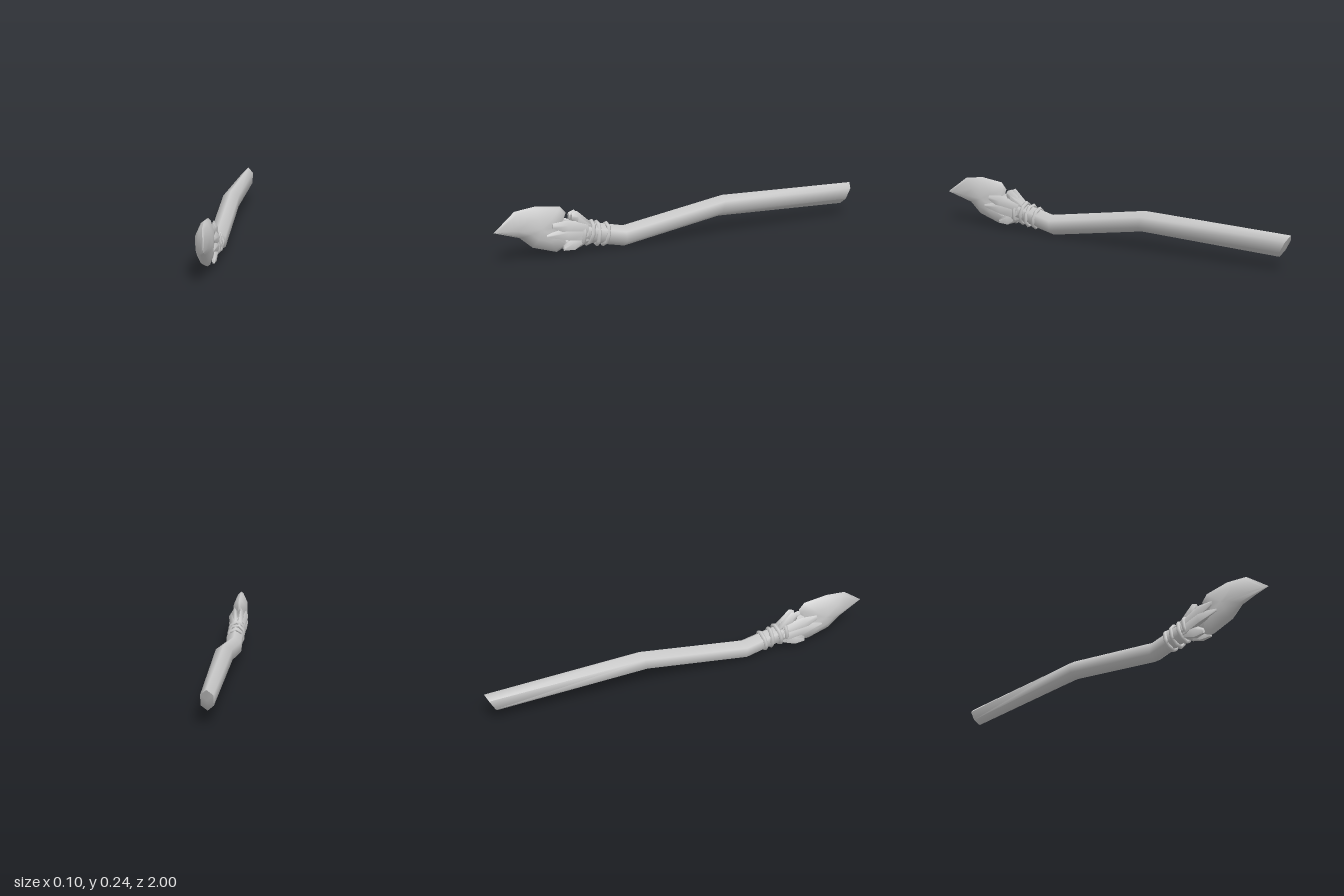
import * as THREE from 'three';
import { toCreasedNormals } from 'three/addons/utils/BufferGeometryUtils.js';

const grey = new THREE.MeshStandardMaterial({ color: 0xcccccc });
grey.name = 'grey';

// Skin closed rings, ordered with the first ring at the back, and cap both ends.
function loft(rings, crease) {
  const n = rings[0].length, pos = rings.flat(2), idx = [];
  const last = rings.length - 1;
  for (let k = 0; k < last; k++) {
    for (let i = 0; i < n; i++) {
      const a = k * n + i, b = k * n + (i + 1) % n;
      idx.push(a, b, a + n, b, b + n, a + n);
    }
  }
  for (const k of [0, last]) {
    const c = pos.length / 3;
    for (let j = 0; j < 3; j++) pos.push(rings[k].reduce((s, p) => s + p[j], 0) / n);
    for (let i = 0; i < n; i++) {
      const a = k * n + i, b = k * n + (i + 1) % n;
      if (k === 0) idx.push(c, b, a); else idx.push(c, a, b);
    }
  }
  const geo = new THREE.BufferGeometry();
  geo.setAttribute('position', new THREE.Float32BufferAttribute(pos, 3));
  geo.setIndex(idx);
  return toCreasedNormals(geo, crease);
}

// Elliptical ring across z; lean pushes its top towards +z or -z.
function ring([x, y, z, rx, ry, lean = 0], sides) {
  return Array.from({ length: sides }, (_, i) => {
    const a = Math.PI / 2 + (i / sides) * Math.PI * 2;
    return [x + rx * Math.cos(a), y + ry * Math.sin(a), z + lean * Math.sin(a)];
  });
}

export function createModel() {
  const group = new THREE.Group();
  const add = (name, geo) => {
    const mesh = new THREE.Mesh(geo, grey);
    mesh.name = name;
    group.add(mesh);
    return mesh;
  };

  // Crooked six-sided shaft, cut at a slant at the back
  const shaft = [
    [0.004, 0.113, -0.972, 0.032, 0.052, -0.028],
    [0, 0.135, -0.21, 0.045, 0.051, -0.01],
    [0, 0.053, 0.33, 0.044, 0.05, 0.003],
    [0, 0.1, 0.55, 0.04, 0.048, -0.008],
    [0, 0.125, 0.66, 0.038, 0.045, -0.008],
  ];
  add('shaft', loft(shaft.map(s => ring(s, 6)), 1.55));

  // Splintered prongs of the shaft gripping the blade: base, shoulder, tip
  const prongs = {
    upperSideProng: [[0.02, 0.11, 0.53, 0.018, 0.036], [0.033, 0.137, 0.64, 0.018, 0.034], [0.034, 0.153, 0.715, 0.008, 0.012]],
    lowerSideProng: [[0.02, 0.088, 0.53, 0.018, 0.036], [0.033, 0.106, 0.64, 0.018, 0.032], [0.034, 0.11, 0.745, 0.006, 0.008]],
    topProng: [[0.01, 0.125, 0.51, 0.018, 0.02], [0.016, 0.168, 0.582, 0.018, 0.038], [0.016, 0.18, 0.61, 0.01, 0.016]],
    bottomProng: [[0.012, 0.075, 0.51, 0.018, 0.02], [0.02, 0.054, 0.6, 0.018, 0.034], [0.024, 0.04, 0.655, 0.008, 0.014]],
  };
  for (const [name, steps] of Object.entries(prongs)) {
    for (const side of [-1, 1]) {
      add(name, loft(steps.map(([x, ...rest]) => ring([side * x, ...rest], 5)), 1.3));
    }
  }

  // Cord wound round the shaft: z, tilt, yaw, roll
  const turns = [[0.43, -0.22, 0.05, 0.1], [0.472, -0.1, -0.1, 0.3], [0.512, -0.24, 0.08, 0], [0.55, -0.14, -0.06, 0.2]];
  for (const [z, tilt, yaw, roll] of turns) {
    const cord = add('cordTurn', new THREE.TorusGeometry(1, 0.2, 6, 8));
    cord.geometry.scale(0.039, 0.05 + (z - 0.43) * 0.05, 0.055);
    cord.position.set(0, 0.075 + (z - 0.43) * 0.2, z);
    cord.rotation.set(tilt, yaw, roll);
  }

  // Chipped stone blade: outline as [z, y], skinned through layers of x
  const outline = [
    [0.865, 0.11], [0.8, 0.056], [0.68, 0.02], [0.625, 0.045], [0.64, 0.09], [0.65, 0.15],
    [0.63, 0.2], [0.66, 0.233], [0.785, 0.247], [0.89, 0.236], [1, 0.155],
  ];
  const bend = z => Math.max(0, z - 0.86) * 0.17;
  const taper = z => Math.min(1, 0.1 + (1 - z) * 6);
  const layers = [[0.12, -0.037], [0.5, -0.033], [0.9, -0.014], [1, 0], [0.9, 0.014], [0.5, 0.033], [0.12, 0.037]];
  const rings = layers.map(([k, x]) => outline.map(([z, y]) => {
    const lz = 0.77 + (z - 0.77) * k;
    return [x * taper(lz) + bend(lz), 0.142 + (y - 0.142) * k, lz];
  }));
  add('stoneBlade', loft(rings, 0.9));

  return group;
}
